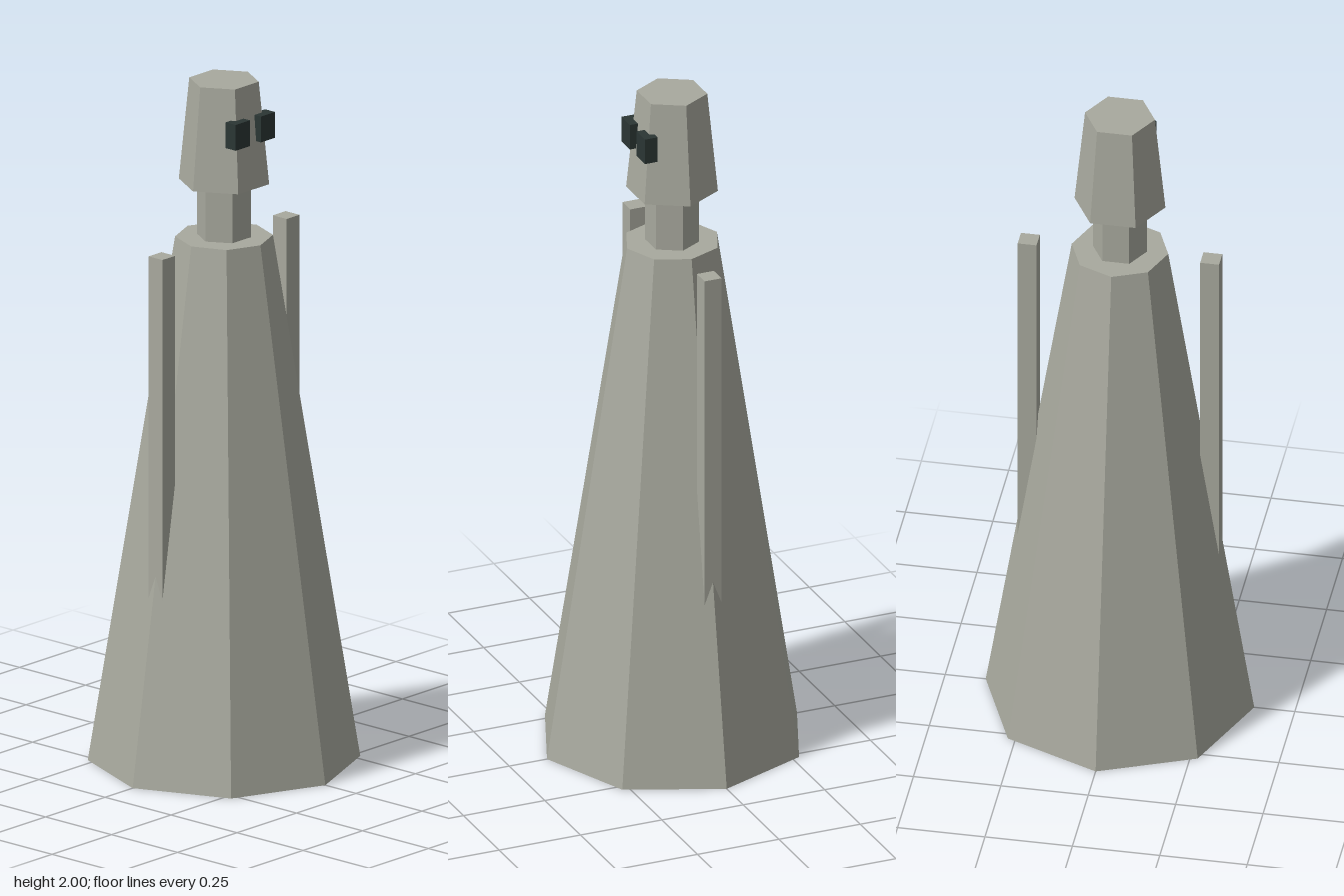
import * as THREE from 'three';

export function createModel() {
  const model = new THREE.Group();
  const stone = new THREE.MeshStandardMaterial({ color: 0xa8a99e, flatShading: true });
  stone.name = 'warm grey';
  const dark = new THREE.MeshStandardMaterial({ color: 0x2b3634, flatShading: true });
  dark.name = 'dark slate';

  const add = (name, geometry, material, x, y, z) => {
    const mesh = new THREE.Mesh(geometry, material);
    mesh.name = name;
    mesh.position.set(x, y, z);
    model.add(mesh);
  };

  // Upright faceted section between two heights
  const taper = (name, rTop, rBottom, y0, y1, sides, turn) =>
    add(name, new THREE.CylinderGeometry(rTop, rBottom, y1 - y0, sides, 1, false, turn),
      stone, 0, (y0 + y1) / 2, 0);

  // Eight-sided robe, six-sided neck and head
  taper('robe', 0.138, 0.384, 0, 1.54, 8, 0);
  taper('neck', 0.077, 0.077, 1.54, 1.7, 6, Math.PI / 6);
  taper('head', 0.1, 0.13, 1.7, 2, 6, Math.PI / 6);

  // Mirrored arms and eyes
  for (const [side, s] of [['left', 1], ['right', -1]]) {
    add(side + 'Arm', new THREE.BoxGeometry(0.054, 1.03, 0.052), stone, s * 0.261, 1.025, 0);
    add(side + 'Eye', new THREE.BoxGeometry(0.06, 0.076, 0.038), dark, s * 0.053, 1.872, 0.1);
  }
  return model;
}
